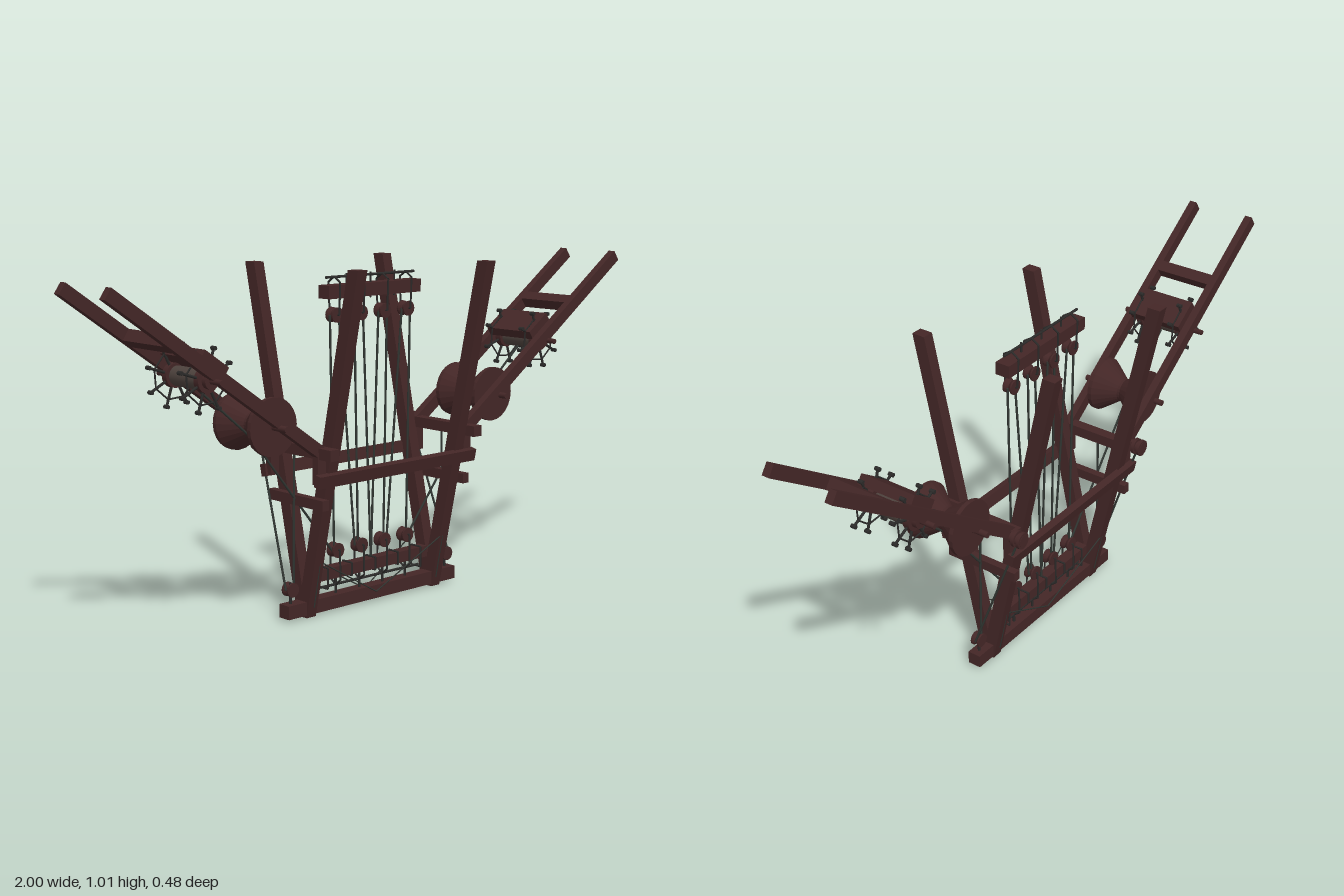
import * as THREE from 'three';

const wood = new THREE.MeshStandardMaterial({ name: 'dark wood', color: 0x432626 });
const iron = new THREE.MeshStandardMaterial({ name: 'dark iron', color: 0x2b2a29 });
const rope = new THREE.MeshStandardMaterial({ name: 'rope', color: 0x303531 });
const coil = new THREE.MeshStandardMaterial({ name: 'coiled rope', color: 0x4c413c });

const V = (x, y, z) => new THREE.Vector3(x, y, z);
const UP = V(0, 1, 0);

export function createModel() {
  const root = new THREE.Group();
  root.name = 'machine';

  const add = (name, geo, mat, x = 0, y = 0, z = 0) => {
    const m = new THREE.Mesh(geo, mat);
    m.name = name;
    m.position.set(x, y, z);
    root.add(m);
    return m;
  };
  const box = (name, w, h, d, x, y, z, mat = wood) => add(name, new THREE.BoxGeometry(w, h, d), mat, x, y, z);
  // Stretches a part between two points
  const between = (name, geo, mat, a, b) => {
    const mid = a.clone().add(b).multiplyScalar(0.5);
    const m = add(name, geo, mat, mid.x, mid.y, mid.z);
    m.quaternion.setFromUnitVectors(UP, b.clone().sub(a).normalize());
    return m;
  };
  const beam = (name, a, b, w, d) => between(name, new THREE.BoxGeometry(w, a.distanceTo(b), d), wood, a, b);
  const rod = (name, a, b, r = 0.0035, mat = rope) =>
    between(name, new THREE.CylinderGeometry(r, r, a.distanceTo(b), 7), mat, a, b);
  // Cylinder lying along z
  const axle = (name, r, len, x, y, z, mat = wood, sides = 20) => {
    const m = add(name, new THREE.CylinderGeometry(r, r, len, sides), mat, x, y, z);
    m.rotation.x = Math.PI / 2;
    return m;
  };
  // Grooved wheel profile revolved about z
  const sheave = (name, rim, waist, half, lip, x, y, z) => {
    const pts = [[0, -half], [rim, -half], [rim, -half + lip], [waist, -half * 0.05], [waist, half * 0.05],
      [rim, half - lip], [rim, half], [0, half]].map(p => new THREE.Vector2(p[0], p[1]));
    const m = add(name, new THREE.LatheGeometry(pts, 24).toNonIndexed(), wood, x, y, z);
    m.geometry.computeVertexNormals();
    m.rotation.x = Math.PI / 2;
    return m;
  };

  // Base and long rails
  box('baseBeam', 0.68, 0.04, 0.042, 0, 0.028, 0);
  for (const f of [-1, 1]) {
    const rail = box('longRail', 0.63, 0.036, 0.022, 0, 0.422, f * 0.118);
    rail.rotation.x = f * 0.213;
  }

  const slope = 0.7;
  const armY = x => 0.5 + (x - 0.29) * slope;
  const tilt = Math.atan(slope);

  for (const s of [-1, 1]) {
    // Leaning posts with level ends
    for (const f of [-1, 1]) {
      const g = new THREE.BoxGeometry(0.035, 1.015, 0.041);
      const p = g.attributes.position;
      for (let i = 0; i < p.count; i++) p.setZ(i, p.getZ(i) + f * 0.217 * (p.getY(i) + 0.5075));
      g.computeVertexNormals();
      add('post', g, wood, s * 0.255, 0.5075, 0);

      // Slanted arm and its foot block
      beam('arm', V(s * 0.275, armY(0.275), f * 0.102), V(s * 0.99, armY(0.99), f * 0.102), 0.036, 0.024);
      box('armFoot', 0.03, 0.09, 0.024, s * 0.293, 0.455, f * 0.102);
      rod('stayLine', V(s * 0.24, 0.165, f * 0.055), V(0, 0.03, f * 0.025), 0.002);
      rod('stayPeg', V(s * 0.25, 0.165, f * 0.055), V(s * 0.25, 0.03, f * 0.028), 0.002);
    }

    // Cross beams tying the posts
    box('upperTie', 0.034, 0.032, 0.29, s * 0.288, 0.5, 0.018);
    box('lowerTie', 0.024, 0.03, 0.238, s * 0.284, 0.35, 0);
    axle('tiePeg', 0.018, 0.04, s * 0.305, 0.5, -0.14);
    axle('tieWheel', 0.025, 0.01, s * 0.305, 0.5, -0.136);
    axle('tieWheel', 0.025, 0.01, s * 0.305, 0.5, -0.154);

    // Arm spreader
    box('armSpreader', 0.036, 0.036, 0.19, s * 0.785, armY(0.785), 0).rotation.z = s * tilt;

    // Hourglass roller
    const rx = s * 0.44, ry = 0.588;
    sheave('roller', 0.083, 0.036, 0.082, 0.013, rx, ry, 0);
    axle('rollerAxle', 0.009, 0.28, rx, ry, 0);

    // Winch with spoked handles
    const wx = 0.66, wy = 0.738;
    box('winchBed', 0.095, 0.03, 0.18, s * 0.645, 0.783, 0).rotation.z = s * tilt;
    axle('winchDrum', 0.022, 0.19, s * wx, wy, 0);
    axle('winchCoil', 0.028, 0.11, s * wx, wy, 0, coil);
    axle('winchAxle', 0.008, 0.28, s * wx, wy, 0);
    for (const f of [-1, 1]) {
      const z = f * 0.07;
      axle('winchHub', 0.034, 0.02, s * wx, wy, z);
      for (let i = 0; i < 8; i++) {
        const a = (i + 0.4) * Math.PI / 4;
        const c = Math.cos(a), n = Math.sin(a);
        rod('winchSpoke', V(s * wx, wy, z), V(s * (wx + 0.093 * c), wy + 0.093 * n, z), 0.004, iron);
        const b = a + Math.PI / 4;
        rod('winchRim', V(s * (wx + 0.068 * c), wy + 0.068 * n, z),
          V(s * (wx + 0.068 * Math.cos(b)), wy + 0.068 * Math.sin(b), z), 0.0025, iron);
        axle('spokeGrip', 0.006, 0.016, s * (wx + 0.088 * c), wy + 0.088 * n, z, iron, 8);
      }
    }

    // Hauling line: winch, roller, lower pulley
    rod('haulLine', V(s * 0.645, 0.713, 0), V(s * 0.455, 0.552, 0));
    rod('haulLine', V(s * 0.455, 0.552, 0), V(s * 0.145, 0.165, 0));

    // Outer base pulley and its ropes
    sheave('outerPulley', 0.021, 0.014, 0.014, 0.005, s * 0.316, 0.09, 0);
    rod('outerPin', V(s * 0.316, 0.01, 0), V(s * 0.316, 0.11, 0), 0.004, iron);
    rod('outerRope', V(s * 0.305, 0.49, -0.14), V(s * 0.333, 0.09, 0));
    rod('outerRope', V(s * 0.298, 0.49, 0), V(s * 0.304, 0.09, 0));
  }

  // Upper and lower pulley bars
  box('upperBar', 0.365, 0.038, 0.046, 0, 0.936, 0);
  rod('upperRod', V(-0.175, 0.977, 0), V(0.175, 0.977, 0), 0.004, iron);
  box('lowerBar', 0.44, 0.034, 0.036, 0, 0.115, 0);
  rod('lowerRod', V(-0.2, 0.074, 0), V(0.2, 0.074, 0), 0.004, iron);

  // Strap loop hung around a bar
  const strap = (name, x, outline) => {
    for (let i = 0; i < outline.length; i++) {
      const a = outline[i], b = outline[(i + 1) % outline.length];
      rod(name, V(x, a[1], a[0]), V(x, b[1], b[0]), 0.003, iron);
    }
  };
  const xs = [-0.142, -0.047, 0.047, 0.142];
  xs.forEach((x, i) => {
    strap('upperStrap', x, [[-0.021, 0.87], [-0.025, 0.962], [0, 0.978], [0.025, 0.962], [0.021, 0.87]]);
    strap('lowerStrap', x, [[-0.02, 0.18], [-0.022, 0.09], [0, 0.073], [0.022, 0.09], [0.02, 0.18]]);
    rod('anchorPin', V(x, 0.005, 0), V(x, 0.1, 0), 0.004, iron);
    sheave('upperPulley', 0.022, 0.015, 0.015, 0.005, x, 0.869, 0);
    sheave('lowerPulley', 0.022, 0.015, 0.015, 0.005, x, 0.178, 0);

    // Ropes laced between the pulleys
    const e = Math.sign(x);
    rod('lacing', V(x + e * 0.018, 0.869, 0), V(x + e * 0.005, 0.178, 0));
    const inner = Math.abs(x) > 0.1 ? xs[i - e] + e * 0.018 : 0;
    rod('lacing', V(x - e * 0.016, 0.869, 0), V(inner, inner ? 0.178 : 0.13, 0));
  });
  // Hooks and coils along both bars
  for (const x of [-0.095, 0, 0.095]) {
    rod('upperHook', V(x, 0.91, 0), V(x, 0.985, 0), 0.003, iron);
    strap('barLashing', x, [[-0.02, 0.096], [-0.02, 0.134], [0.02, 0.134], [0.02, 0.096]]);
  }
  for (const x of [-0.19, 0.19]) {
    strap('barLashing', x, [[-0.02, 0.072], [-0.02, 0.134], [0.02, 0.134], [0.02, 0.072]]);
  }

  return root;
}
